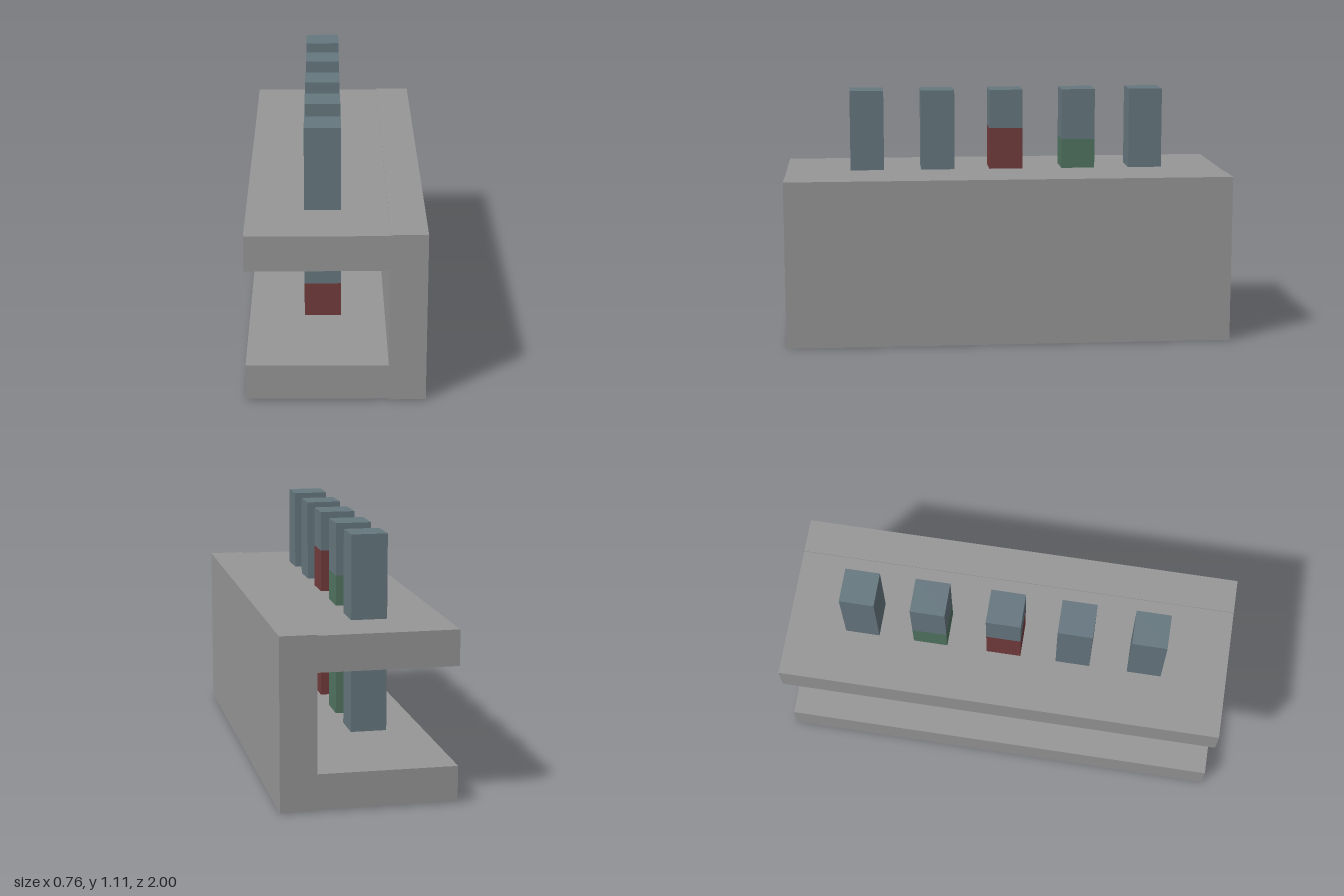
import * as THREE from 'three';

const mat = (name, color) => {
  const m = new THREE.MeshStandardMaterial({ color });
  m.name = name;
  return m;
};

export function createModel() {
  const grey = mat('housing grey', 0x969696);
  const steel = mat('steel blue', 0x66777f);
  const red = mat('dark red', 0x733c3c);
  const green = mat('dark green', 0x517461);

  const model = new THREE.Group();
  model.name = 'pinHousing';

  // Box given by its lower and upper limits on each axis
  const box = (name, material, [x0, x1], [y0, y1], [z0, z1], parent = model) => {
    const mesh = new THREE.Mesh(new THREE.BoxGeometry(x1 - x0, y1 - y0, z1 - z0), material);
    mesh.position.set((x0 + x1) / 2, (y0 + y1) / 2, (z0 + z1) / 2);
    mesh.name = name;
    parent.add(mesh);
  };

  // C-shaped housing, open on one side
  box('sideWall', grey, [0.222, 0.38], [0, 0.75], [-1, 1]);
  box('topPlate', grey, [-0.38, 0.222], [0.591, 0.746], [-1, 1]);
  box('bottomPlate', grey, [-0.38, 0.222], [0.005, 0.16], [-1, 1]);

  // Row of square pins: centre z, height where the coloured lower pin ends, its colour
  const bottom = 0.256, top = 1.112, px = [-0.133, 0.023];
  const pins = [
    [0.63, 0.407, red],
    [0.305, 0.5, green],
    [-0.01, 0.935, red],
    [-0.345, 0.88, green],
    [-0.658, bottom, null],
  ];
  pins.forEach(([z, split, colour], i) => {
    const pin = new THREE.Group();
    pin.name = `pin${i + 1}`;
    const pz = [z - 0.077, z + 0.077];
    if (colour) box('lowerPin', colour, px, [bottom, split], pz, pin);
    box('upperPin', steel, px, [split, top], pz, pin);
    model.add(pin);
  });

  return model;
}
